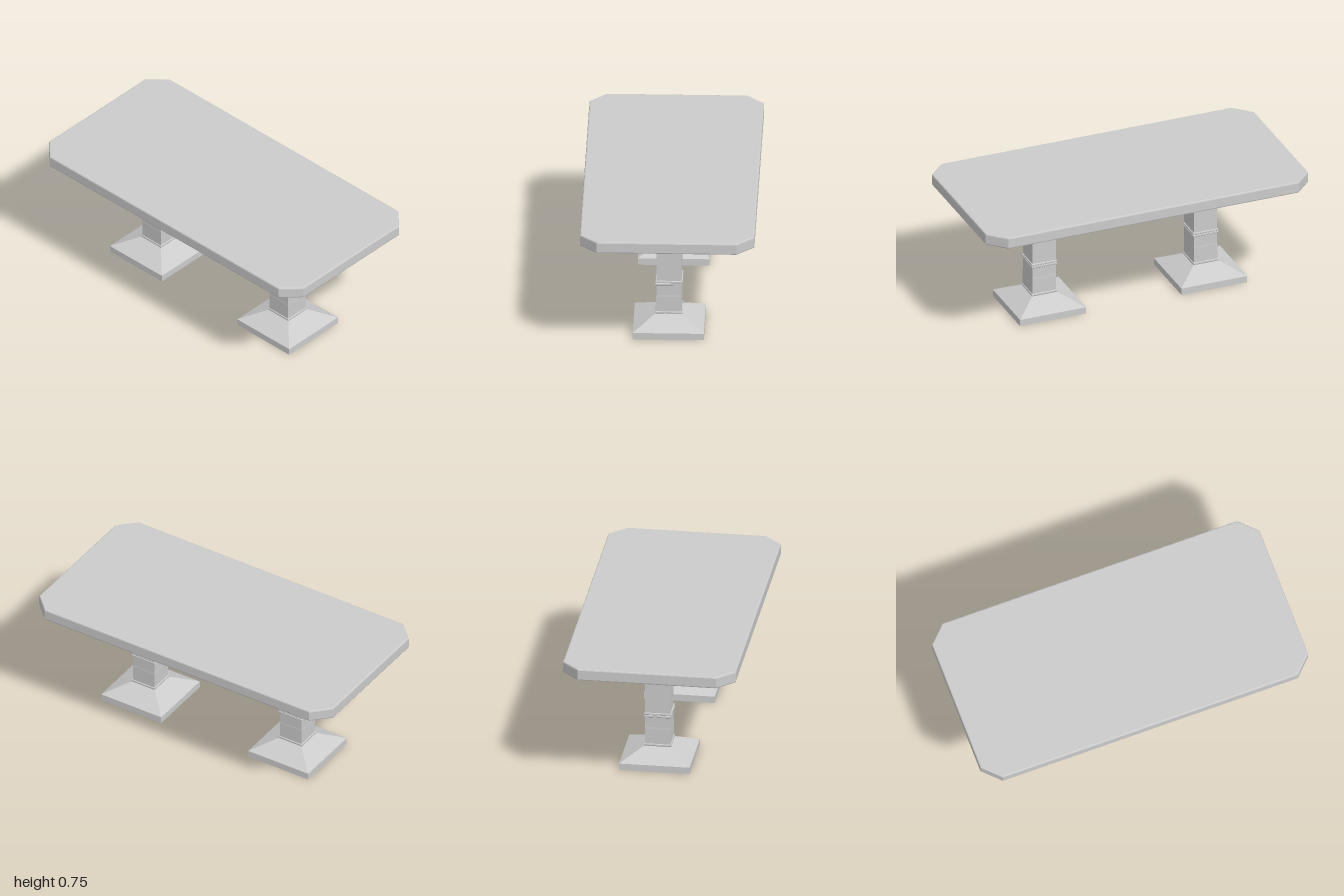
import * as THREE from 'three';

const material = new THREE.MeshStandardMaterial({
  color: 0xcccccc, flatShading: true, side: THREE.DoubleSide,
});

// Square cross-section swept up a profile of [half width, height] pairs
function squareTurned(name, profile) {
  const points = profile.map(([w, y]) => new THREE.Vector2(w * Math.SQRT2, y));
  const mesh = new THREE.Mesh(new THREE.LatheGeometry(points, 4, Math.PI / 4), material);
  mesh.name = name;
  return mesh;
}

// Small square moulding wrapped round the column
function collar(name, bottom, top) {
  const e = 0.003, w = 0.078;
  return squareTurned(name, [
    [0.071, bottom], [w - e, bottom], [w, bottom + e],
    [w, top - e], [w - e, top], [0.071, top],
  ]);
}

function createPedestal(x) {
  const leg = new THREE.Group();
  leg.name = 'pedestal';
  leg.add(
    // hollow foot, open underneath
    squareTurned('foot', [[0.204, 0], [0.204, 0.04], [0.078, 0.105]]),
    squareTurned('column', [[0.073, 0.105], [0.073, 0.21], [0.072, 0.22], [0.072, 0.63]]),
    collar('baseCollar', 0.105, 0.118),
    collar('lowerMiddleCollar', 0.283, 0.297),
    collar('upperMiddleCollar', 0.297, 0.311),
    collar('topCollar', 0.623, 0.637),
    // flared support beneath the top
    squareTurned('flaredSupport', [[0.078, 0.636], [0.15, 0.657], [0.25, 0.679], [0.33, 0.682]]),
  );
  leg.position.x = x;
  return leg;
}

// Slab with clipped corners and softly bevelled edges
function createTableTop() {
  const X = 1, Z = 0.5, c = 0.1, bevel = 0.008, bottom = 0.68, top = 0.75;
  const outline = new THREE.Shape([
    [X, Z - c], [X - c, Z], [c - X, Z], [-X, Z - c],
    [-X, c - Z], [c - X, -Z], [X - c, -Z], [X, c - Z],
  ].map(([x, z]) => new THREE.Vector2(x, z)));
  const geometry = new THREE.ExtrudeGeometry(outline, {
    depth: top - bottom - 2 * bevel,
    bevelEnabled: true, bevelThickness: bevel, bevelSize: bevel,
    bevelOffset: -bevel, bevelSegments: 2,
  });
  geometry.rotateX(-Math.PI / 2).translate(0, bottom + bevel, 0);
  const mesh = new THREE.Mesh(geometry, material);
  mesh.name = 'tableTop';
  return mesh;
}

export function createModel() {
  const table = new THREE.Group();
  table.name = 'table';
  table.add(createTableTop());
  for (const side of [-1, 1]) table.add(createPedestal(side * 0.5));
  return table;
}
